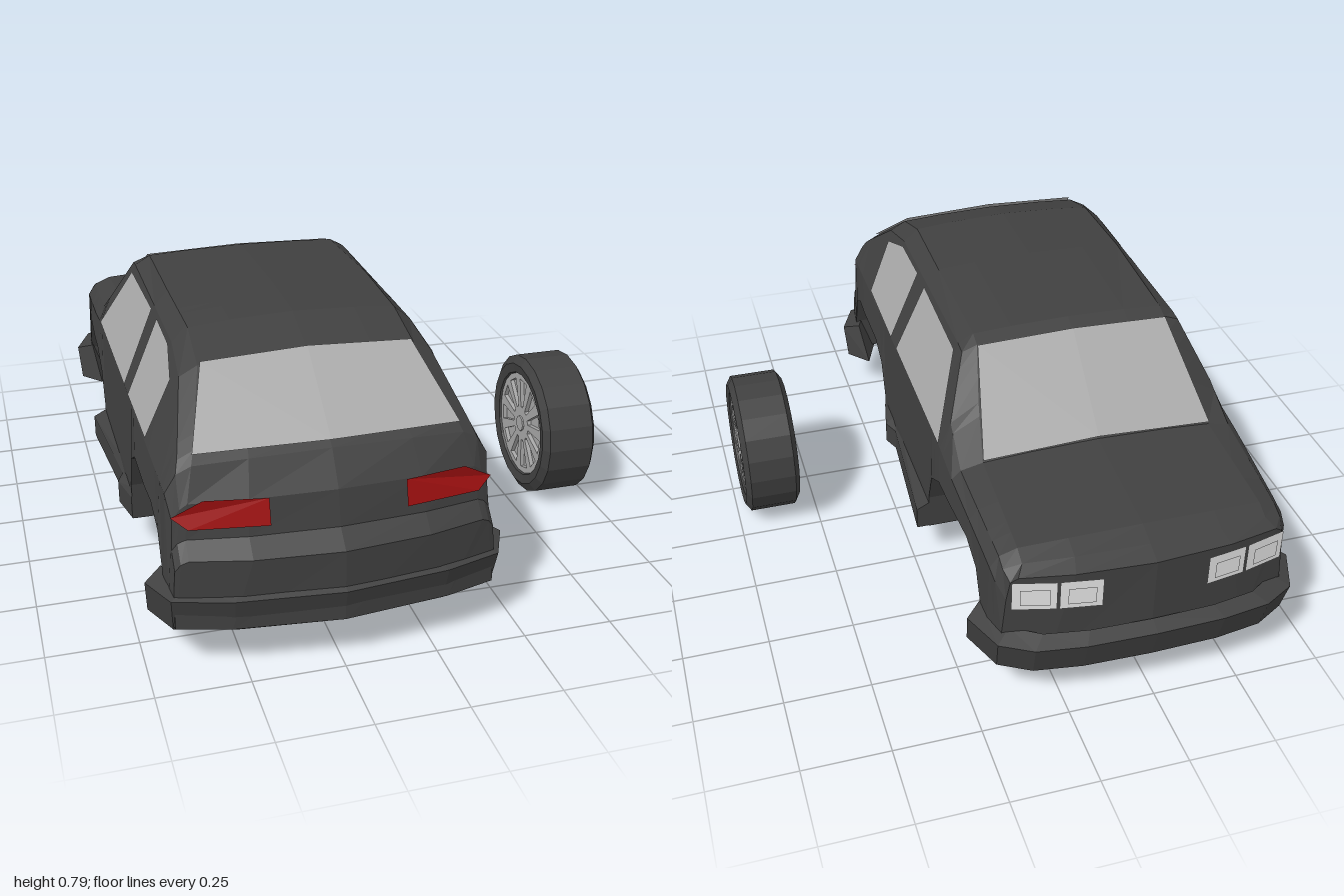
import * as THREE from 'three';

const mat = (name, color, extra = {}) => {
  const m = new THREE.MeshStandardMaterial({ color, ...extra });
  m.name = name;
  return m;
};
const paint = mat('charcoal', 0x404040, { flatShading: true });
const glass = mat('grey glass', 0xaaaaaa, { side: THREE.DoubleSide });
const alloy = mat('alloy grey', 0xa6a6a6, { flatShading: true });
const red = mat('red lens', 0xa01010, { side: THREE.DoubleSide });
const lamp = mat('pale lens', 0xe2e2e2, { side: THREE.DoubleSide });

// Closed loft through rings of [x, y, z]; rings run anticlockwise seen from the end
function loft(rings) {
  const pos = [], n = rings[0].length, m = n / 2;
  const quad = (a, b, c, d) => pos.push(...a, ...b, ...c, ...a, ...c, ...d);
  for (let i = 0; i < rings.length - 1; i++)
    for (let j = 0; j < n; j++) {
      const k = (j + 1) % n;
      quad(rings[i][j], rings[i][k], rings[i + 1][k], rings[i + 1][j]);
    }
  const cap = (r, flip) => {
    for (let k = 0; k < m / 2; k++)
      for (const q of [[k, k + 1, m - k - 1, m - k], [m + k, m + k + 1, n - k - 1, n - k]]) {
        const c = q.map(i => r[i % n]);
        quad(...(flip ? c.reverse() : c));
      }
  };
  cap(rings[0], true);
  cap(rings[rings.length - 1], false);
  const g = new THREE.BufferGeometry();
  g.setAttribute('position', new THREE.Float32BufferAttribute(pos, 3));
  g.computeVertexNormals();
  return g;
}

// Thin convex plate
function plate(pts) {
  const pos = [];
  for (let i = 1; i < pts.length - 1; i++) pos.push(...pts[0], ...pts[i], ...pts[i + 1]);
  const g = new THREE.BufferGeometry();
  g.setAttribute('position', new THREE.Float32BufferAttribute(pos, 3));
  g.computeVertexNormals();
  return g;
}

function add(parent, name, geometry, material, mirror = false) {
  for (const s of mirror ? [1, -1] : [1]) {
    const mesh = new THREE.Mesh(geometry, material);
    mesh.name = mirror ? name + (s > 0 ? 'Left' : 'Right') : name;
    mesh.scale.x = s;
    parent.add(mesh);
  }
}

// z, sill half width, belt (x, y), shoulder (x, y), roof edge (x, y), centre y
const KEYS = [
  [-0.955, 0.41, 0.40, 0.36, 0.39, 0.42, 0.37, 0.435, 0.445],
  [-0.90, 0.42, 0.42, 0.40, 0.40, 0.44, 0.35, 0.455, 0.465],
  [-0.84, 0.43, 0.425, 0.42, 0.40, 0.455, 0.35, 0.475, 0.487],
  [-0.49, 0.447, 0.437, 0.47, 0.41, 0.495, 0.345, 0.51, 0.525],
  [-0.36, 0.45, 0.437, 0.49, 0.403, 0.57, 0.32, 0.625, 0.64],
  [-0.24, 0.45, 0.435, 0.495, 0.335, 0.725, 0.29, 0.742, 0.748],
  [-0.2, 0.45, 0.435, 0.495, 0.335, 0.73, 0.29, 0.757, 0.767],
  [0.17, 0.45, 0.435, 0.495, 0.335, 0.73, 0.295, 0.772, 0.785],
  [0.455, 0.45, 0.435, 0.495, 0.335, 0.73, 0.29, 0.768, 0.785],
  [0.61, 0.45, 0.435, 0.495, 0.345, 0.695, 0.295, 0.722, 0.735],
  [0.85, 0.44, 0.43, 0.48, 0.40, 0.53, 0.36, 0.55, 0.56],
  [0.91, 0.435, 0.42, 0.42, 0.40, 0.45, 0.38, 0.465, 0.472],
  [0.93, 0.435, 0.425, 0.34, 0.41, 0.36, 0.39, 0.37, 0.375],
  [0.98, 0.43, 0.425, 0.30, 0.41, 0.32, 0.39, 0.33, 0.33],
];
const FLOOR = 0.13, WELL = 0.29;
const ARCH = [[-0.25, 0.13], [-0.25, 0.24], [-0.21, 0.345], [-0.13, 0.39],
  [0.13, 0.39], [0.21, 0.345], [0.25, 0.24], [0.25, 0.13]];

function keyAt(z) {
  const i = Math.max(1, KEYS.findIndex(k => k[0] >= z));
  const a = KEYS[i - 1], b = KEYS[i], t = (z - a[0]) / (b[0] - a[0]);
  return a.map((v, j) => v + (b[j] - v) * t);
}

// Rounds both ends of the car in plan
const bend = (x, z) =>
  z * (1 - 0.07 * (x / 0.42) ** 2 * THREE.MathUtils.clamp((Math.abs(z) - 0.8) / 0.15, 0, 1));

function bodyGeometry() {
  const stations = [];
  const centres = [-0.52, 0.56];
  for (const c of centres) for (const [dz, y] of ARCH) stations.push([c + dz, y]);
  // Heights over the wells for the body stations that fall inside an arch
  const archY = z => {
    for (const c of centres)
      for (let i = 1; i < ARCH.length - 2; i++) {
        const [a, ya] = ARCH[i], [b, yb] = ARCH[i + 1], d = z - c;
        if (d >= a && d <= b) return ya + (yb - ya) * (d - a) / (b - a);
      }
    return FLOOR;
  };
  for (const k of KEYS) stations.push([k[0], archY(k[0])]);
  stations.sort((a, b) => a[0] - b[0]);
  return loft(stations.map(([z, ay]) => {
    const [, w, bx, by, sx, sy, tx, ty, cy] = keyAt(z);
    const half = [[0, FLOOR], [WELL, FLOOR], [WELL, ay], [w, ay], [w, Math.max(0.24, ay)],
      [bx, by], [sx, sy], [tx, ty], [tx * 0.6, ty + (cy - ty) * 0.6], [0, cy]];
    const other = half.slice(1, -1).reverse().map(([x, y]) => [-x, y]);
    return [...half, ...other].map(([x, y]) => [x, y, bend(x, z)]);
  }));
}

// Wrap-round bumper: path of [x, z] from the middle outwards, s = +1 or -1 for the end
function bumper(path, s, top, low) {
  const full = [...path.slice(1).reverse().map(([x, z]) => [-x, z]), ...path];
  return loft(full.map(([x, z]) => {
    const ring = [[x, top - 0.02, s * z], [x * 0.985, low, s * (z - 0.03)],
      [x * 0.86, low, s * (z - 0.1)], [x * 0.9, top, s * (z - 0.04)]];
    return s > 0 ? ring : ring.reverse();
  }));
}

function wheel() {
  const g = new THREE.Group();
  g.name = 'wheel';
  const tyre = [[0.16, -0.07], [0.166, -0.081], [0.195, -0.086], [0.22, -0.07], [0.22, 0.07],
    [0.195, 0.086], [0.166, 0.081], [0.16, 0.07]].map(p => new THREE.Vector2(...p));
  add(g, 'tyre', new THREE.LatheGeometry(tyre, 20).rotateZ(-Math.PI / 2), paint);
  // Rim with wedge openings on both faces, and a web behind them
  const rim = new THREE.Shape().absarc(0, 0, 0.167, 0, Math.PI * 2);
  const COUNT = 11;
  for (let i = 0; i < COUNT; i++) {
    const a = Math.PI / 2 + (i / COUNT) * Math.PI * 2;
    const p = (r, d) => new THREE.Vector2(r * Math.cos(a + d), r * Math.sin(a + d));
    rim.holes.push(new THREE.Path([p(0.055, -0.12), p(0.145, -0.17), p(0.145, 0.17), p(0.055, 0.12)]));
  }
  const rimGeo = new THREE.ExtrudeGeometry(rim, { depth: 0.15, bevelEnabled: false, curveSegments: 10 });
  add(g, 'rim', rimGeo.translate(0, 0, -0.075).rotateY(Math.PI / 2), alloy);
  add(g, 'web', new THREE.CylinderGeometry(0.16, 0.16, 0.125, 20).rotateZ(Math.PI / 2), alloy);
  add(g, 'hub', new THREE.CylinderGeometry(0.025, 0.025, 0.16, 10).rotateZ(Math.PI / 2), alloy);
  return g;
}

export function createModel() {
  const model = new THREE.Group();
  model.name = 'carAndWheel';
  const car = new THREE.Group();
  car.name = 'car';
  car.position.x = -0.245;
  model.add(car);

  add(car, 'body', bodyGeometry(), paint);
  add(car, 'tailBumper', bumper([[0, 0.995], [0.285, 0.965], [0.44, 0.92], [0.49, 0.81]], 1, 0.24, 0.12), paint);
  add(car, 'noseBumper', bumper([[0, 1], [0.2, 0.995], [0.34, 0.975], [0.43, 0.925], [0.48, 0.8]], -1, 0.25, 0.13), paint);

  // Flared sills between the wheel wells
  const sill = [[-0.27, 0.488], [0.15, 0.455], [0.2, 0.475], [0.31, 0.452]];
  add(car, 'sill', loft(sill.map(([z, x]) =>
    [[0.4, 0.132, z], [x, 0.132, z], [x, 0.2, z], [0.44, 0.225, z]])), paint, true);

  // Side glass follows the slope of the cabin
  const side = pts => plate(pts.map(([z, y]) => [0.439 - (y - 0.495) * 0.4255, y, z]));
  add(car, 'doorGlass', side([[0.18, 0.5], [0.165, 0.72], [-0.195, 0.71], [-0.35, 0.495]]), glass, true);
  add(car, 'quarterGlass', side([[0.25, 0.5], [0.25, 0.722], [0.44, 0.72], [0.575, 0.675], [0.555, 0.505]]), glass, true);

  // Windscreen and tailgate glass, each folded along the middle
  add(car, 'windscreen', plate([[0, 0.536, -0.495], [0.345, 0.52, -0.495], [0.29, 0.745, -0.247], [0, 0.754, -0.247]]), glass, true);
  add(car, 'tailgateGlass', plate([[0, 0.578, 0.84], [0.355, 0.575, 0.822], [0.288, 0.732, 0.61], [0, 0.745, 0.61]]), glass, true);

  // Tail lamps
  add(car, 'tailLamp', plate([[0.18, 0.475, 0.912], [0.345, 0.48, 0.893], [0.425, 0.435, 0.877],
    [0.385, 0.405, 0.897], [0.18, 0.405, 0.928]]), red, true);

  // Headlamps: an inner and an outer lens, each with a raised face
  const zNose = x => bend(x, -0.955) - 0.012;
  const lens = (x0, x1, y0, y1, lift) => plate([[x0, y0, zNose(x0) - lift], [x0, y1, zNose(x0) - lift],
    [x1, y1, zNose(x1) - lift], [x1, y0, zNose(x1) - lift]]);
  for (const [name, x0, x1] of [['innerHeadlamp', 0.15, 0.265], ['outerHeadlamp', 0.272, 0.39]]) {
    add(car, name, lens(x0, x1, 0.335, 0.428, 0), lamp, true);
    add(car, name + 'Face', lens(x0 + 0.02, x1 - 0.02, 0.355, 0.408, 0.006), lamp, true);
  }

  // Loose wheel standing beside the car
  const loose = wheel();
  loose.position.set(0.641, 0.22, 0.195);
  model.add(loose);
  return model;
}
